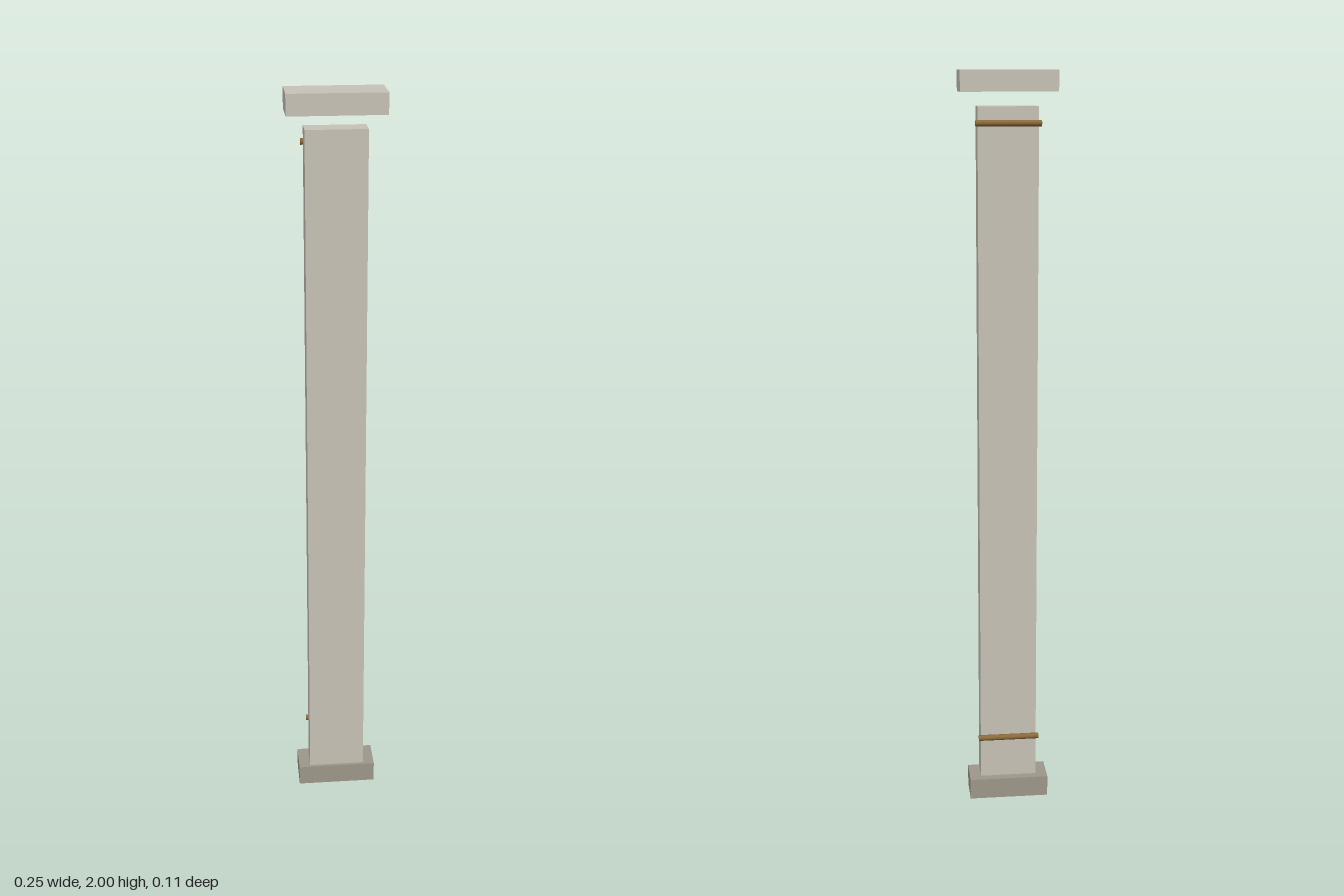
import * as THREE from 'three';

export function createModel() {
  const model = new THREE.Group();
  model.name = 'slabColumn';

  const material = (name, color) => {
    const m = new THREE.MeshStandardMaterial({ color });
    m.name = name;
    return m;
  };
  const paleStone = material('paleStone', 0xc9c4b8);
  const darkStone = material('darkStone', 0x9f978a);
  const bronze = material('bronze', 0x8a6a3a);

  // Block spanning y0..y1, centred on x = 0
  const block = (name, width, y0, y1, depth, z, mat) => {
    const mesh = new THREE.Mesh(new THREE.BoxGeometry(width, y1 - y0, depth), mat);
    mesh.position.set(0, (y0 + y1) / 2, z);
    mesh.name = name;
    model.add(mesh);
  };
  block('base', 0.219, 0, 0.058, 0.091, 0, darkStone);
  block('shaft', 0.156, 0.058, 1.911, 0.06, 0.007, paleStone);
  block('cap', 0.248, 1.947, 2, 0.109, 0, paleStone);

  // Horizontal rods across the back of the shaft
  for (const [name, y] of [['lowerRod', 0.18], ['upperRod', 1.87]]) {
    const rod = new THREE.Mesh(new THREE.CylinderGeometry(0.008, 0.008, 0.168, 12), bronze);
    rod.rotation.z = Math.PI / 2;
    rod.position.set(0, y, -0.031);
    rod.name = name;
    model.add(rod);
  }
  return model;
}
